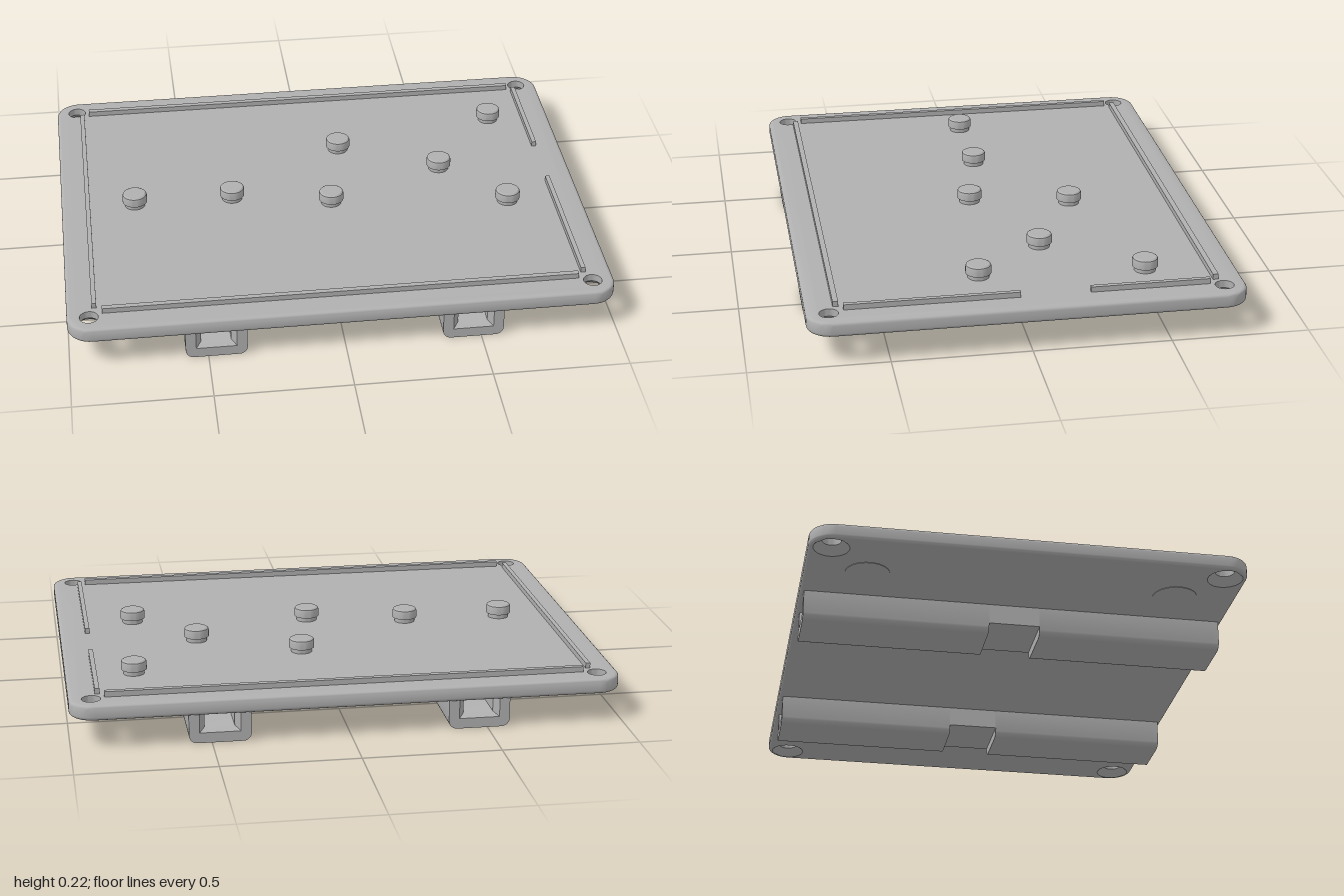
import * as THREE from 'three';
import { mergeGeometries, toCreasedNormals } from 'three/addons/utils/BufferGeometryUtils.js';

const grey = new THREE.MeshStandardMaterial({ color: 0xb0b0b0 });
grey.name = 'grey plastic';

const BOTTOM = 0.109, TOP = 0.165;      // plate faces
const HOLE_X = 0.92, HOLE_Z = 0.705;    // screw positions
const HOLE_R = 0.034, SINK_R = 0.064;

const corners = [[1, 1], [-1, 1], [-1, -1], [1, -1]];

// joins counter-clockwise rings (x, y, z points) along z
function loft(rings) {
  const pos = [];
  for (let i = 0; i < rings.length - 1; i++) {
    const n = rings[i].length;
    for (let j = 0; j < n; j++) {
      const k = (j + 1) % n;
      const a = rings[i][j], b = rings[i][k], c = rings[i + 1][k], d = rings[i + 1][j];
      for (const p of [a, b, c, a, c, d]) pos.push(p.x, p.y, p.z);
    }
  }
  const g = new THREE.BufferGeometry();
  g.setAttribute('position', new THREE.Float32BufferAttribute(pos, 3));
  return g;
}

// flat cap over a ring that is symmetric in x, facing +z or -z
function cap(ring, facing, holeR = 0) {
  const shape = new THREE.Shape(ring.map(p => new THREE.Vector2(p.x, p.y)));
  if (holeR) for (const [sx, sy] of corners) {
    shape.holes.push(new THREE.Path().absarc(sx * HOLE_X, sy * HOLE_Z, holeR, 0, Math.PI * 2, true));
  }
  const g = new THREE.ShapeGeometry(shape, 16).toNonIndexed();
  if (facing < 0) g.rotateY(Math.PI);
  g.translate(0, 0, ring[0].z);
  g.deleteAttribute('uv');
  g.deleteAttribute('normal');
  return g;
}

function finish(parts) {
  return toCreasedNormals(mergeGeometries(parts), 0.6);
}

// rounded rectangle of the plate, pulled in by an inset
function plateRing(inset, z) {
  const r = 0.088, pts = [];
  corners.forEach(([sx, sy], q) => {
    for (let i = 0; i <= 10; i++) {
      const a = (q + i / 10) * Math.PI / 2;
      pts.push(new THREE.Vector3(
        sx * (1 - r) + (r - inset) * Math.cos(a),
        sy * (0.785 - r) + (r - inset) * Math.sin(a), z));
    }
  });
  return pts;
}

function plateGeometry() {
  const rings = [], f = 0.013;
  const steps = [0, 1, 2, 3, 4].map(i => i / 4 * Math.PI / 2);
  for (const a of steps) rings.push(plateRing(f * (1 - Math.sin(a)), BOTTOM + f * (1 - Math.cos(a))));
  for (const a of steps) rings.push(plateRing(f * (1 - Math.cos(a)), TOP - f * (1 - Math.sin(a))));
  const g = finish([loft(rings), cap(rings[0], -1, SINK_R), cap(rings[rings.length - 1], 1, HOLE_R)]);
  return g.rotateX(-Math.PI / 2);
}

// channel section: rounded underside, slot open towards the plate
function railRing(z, slotHalf, floor, bottom) {
  const w = 0.112, r = 0.03, top = BOTTOM + 0.002;
  const pts = [[-w, top]];
  for (const [s, start] of [[-1, Math.PI], [1, Math.PI * 1.5]]) {
    for (let i = 0; i <= 6; i++) {
      const a = start + i / 6 * Math.PI / 2;
      pts.push([s * (w - r) + r * Math.cos(a), r + r * Math.sin(a)]);
    }
  }
  pts.push([w, top], [slotHalf, top], [slotHalf, floor], [-slotHalf, floor], [-slotHalf, top]);
  return pts.map(([x, y]) => new THREE.Vector3(x, Math.max(y, bottom), z));
}

function railGeometry() {
  const inner = [0.054, 0.052], mouth = [0.074, 0.038], notch = 0.034;
  const rings = [
    railRing(-0.77, ...mouth, 0), railRing(-0.745, ...inner, 0),
    railRing(-0.092, ...inner, 0), railRing(-0.092, ...inner, notch),
    railRing(0.095, ...inner, notch), railRing(0.095, ...inner, 0),
    railRing(0.745, ...inner, 0), railRing(0.77, ...mouth, 0),
  ];
  return finish([loft(rings), cap(rings[0], -1), cap(rings[rings.length - 1], 1)]);
}

function lathe(points, segments = 32) {
  const g = new THREE.LatheGeometry(points.map(([x, y]) => new THREE.Vector2(x, y)), segments);
  return toCreasedNormals(g, 0.5);
}

export function createModel() {
  const model = new THREE.Group();
  model.name = 'mountingPlate';
  const add = (name, geometry, x = 0, y = 0, z = 0) => {
    const mesh = new THREE.Mesh(geometry, grey);
    mesh.name = name;
    mesh.position.set(x, y, z);
    model.add(mesh);
  };

  add('plate', plateGeometry());

  // countersunk screw holes and round pads underneath
  const hole = lathe([[HOLE_R, TOP], [HOLE_R, 0.137], [SINK_R, BOTTOM]]);
  const pad = new THREE.CylinderGeometry(0.08, 0.08, 0.004, 32);
  for (const [sx, sz] of corners) {
    add('screwHole', hole, sx * HOLE_X, 0, sz * HOLE_Z);
    add('roundPad', pad, sx * 0.755, BOTTOM, sz * 0.56);
  }

  // channel rails under the plate
  const rail = railGeometry();
  for (const s of [-1, 1]) add('rail', rail, s * 0.47);

  // raised rims: x range, z range
  const rims = [
    [-0.872, 0.872, -0.695, -0.675], [-0.872, 0.872, 0.667, 0.687],
    [-0.908, -0.891, -0.658, 0.652],
    [0.887, 0.904, -0.658, -0.225], [0.887, 0.904, 0.027, 0.652],
  ];
  for (const [x0, x1, z0, z1] of rims) {
    add('rim', new THREE.BoxGeometry(x1 - x0, 0.024, z1 - z0), (x0 + x1) / 2, 0.173, (z0 + z1) / 2);
  }

  // pegs with a narrow neck and a softened cap
  const peg = lathe([[0.039, 0.16], [0.039, 0.18], [0.047, 0.182], [0.047, 0.208],
    [0.045, 0.214], [0.039, 0.218], [0, 0.218]]);
  const pegs = [[-0.718, 0], [-0.342, 0], [0.035, 0.075], [0.11, -0.302],
    [0.487, -0.115], [0.75, -0.454], [0.712, 0.148]];
  for (const [x, z] of pegs) add('peg', peg, x, 0, z);

  return model;
}
